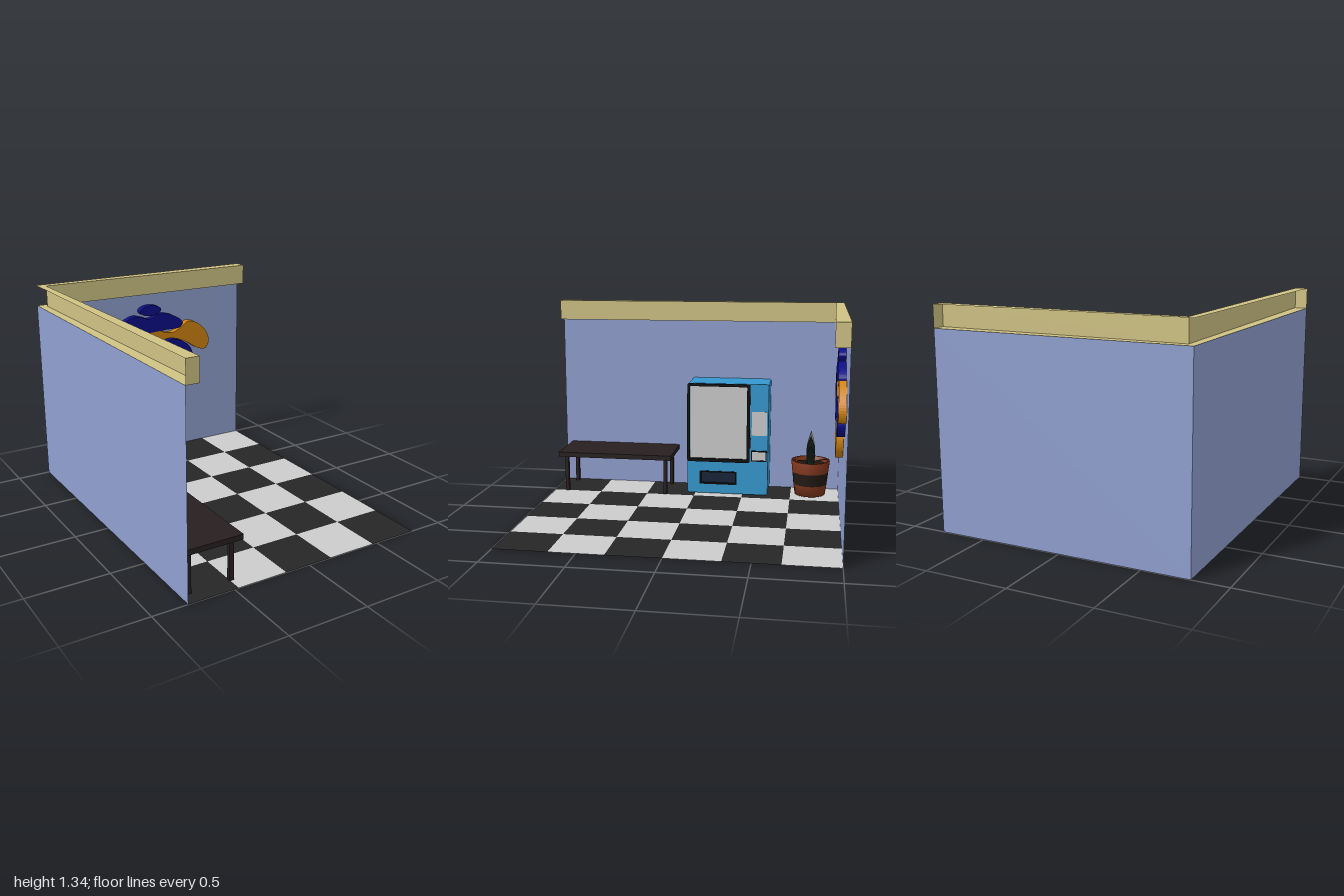
import * as THREE from 'three';

const mat = (color, double = false) => new THREE.MeshStandardMaterial({ color, side: double ? THREE.DoubleSide : THREE.FrontSide });
const M = {
  wall: mat(0x909fcf, true), trim: mat(0xcfc284, true), light: mat(0xcccccc, true), dark: mat(0x262626, true),
  blue: mat(0x3698cf), black: mat(0x0c0c0c), grey: mat(0xcccccc), slot: mat(0x18243a), wood: mat(0x282020),
  navy: mat(0x0e0e88), orange: mat(0xd08412), clay: mat(0x81371c, true), band: mat(0x231a15), soil: mat(0x2a1410),
  leaf: mat(0x18241a, true), bottle: mat(0x3038a8), label: mat(0xc8102e),
};
const V2 = (x, y) => new THREE.Vector2(x, y);

function add(parent, name, geometry, material, x = 0, y = 0, z = 0) {
  const mesh = new THREE.Mesh(geometry, material);
  mesh.name = name;
  mesh.position.set(x, y, z);
  parent.add(mesh);
  return mesh;
}

// Box given by its low and high corners
function box(parent, name, material, [x0, y0, z0], [x1, y1, z1]) {
  return add(parent, name, new THREE.BoxGeometry(x1 - x0, y1 - y0, z1 - z0), material, (x0 + x1) / 2, (y0 + y1) / 2, (z0 + z1) / 2);
}

function group(parent, name) {
  const g = new THREE.Group();
  g.name = name;
  parent.add(g);
  return g;
}

// Rounded rectangle from (u0, v0) to (u1, v1)
function roundRect(u0, v0, u1, v1, r, Type = THREE.Shape) {
  const s = new Type();
  s.moveTo(u0 + r, v0).lineTo(u1 - r, v0).quadraticCurveTo(u1, v0, u1, v0 + r);
  s.lineTo(u1, v1 - r).quadraticCurveTo(u1, v1, u1 - r, v1);
  s.lineTo(u0 + r, v1).quadraticCurveTo(u0, v1, u0, v1 - r);
  s.lineTo(u0, v0 + r).quadraticCurveTo(u0, v0, u0 + r, v0);
  return s;
}

// Panel facing +x: outline and holes are [-z0, y0, -z1, y1, radius]
function panel(parent, name, material, x0, x1, outline, holes = []) {
  const shape = roundRect(...outline);
  holes.forEach((h) => shape.holes.push(roundRect(...h, THREE.Path)));
  const geo = new THREE.ExtrudeGeometry(shape, { depth: x1 - x0, bevelEnabled: false, curveSegments: 5 });
  geo.rotateY(Math.PI / 2);
  return add(parent, name, geo, material, x0, 0, 0);
}

function buildRoom(root) {
  const room = group(root, 'room');
  add(room, 'backWall', new THREE.PlaneGeometry(1.57, 1.2), M.wall, 0, 0.6, -1);
  add(room, 'sideWall', new THREE.PlaneGeometry(2, 1.2).rotateY(Math.PI / 2), M.wall, -0.785, 0.6, 0);

  // Checkered floor
  const w = 1.57 / 5, d = 2 / 6;
  for (let i = 0; i < 5; i++) for (let j = 0; j < 6; j++) {
    const tile = new THREE.PlaneGeometry(w, d).rotateX(-Math.PI / 2);
    add(room, 'floorTile', tile, (i + j) % 2 ? M.dark : M.light, -0.785 + (i + 0.5) * w, 0, -1 + (j + 0.5) * d);
  }

  // Wall-top trim: a channel open to the outside, swept round the corner
  const lo = 1.2, hi = 1.335;
  const stations = [[-0.785, 1, -0.705, 1], [-0.785, -1, -0.735, -0.945], [0.785, -1, 0.785, -0.917]]
    .map(([ox, oz, ix, iz]) => [[ox, lo, oz], [ix, lo, iz], [ix, hi, iz], [ox, hi, oz]]);
  const pos = [];
  const quad = (a, b, c, e) => pos.push(...a, ...b, ...c, ...a, ...c, ...e);
  for (let s = 0; s < 2; s++) for (let k = 0; k < 3; k++) {
    quad(stations[s][k], stations[s + 1][k], stations[s + 1][k + 1], stations[s][k + 1]);
  }
  quad(...stations[0]);
  quad(...[...stations[2]].reverse());
  const geo = new THREE.BufferGeometry();
  geo.setAttribute('position', new THREE.Float32BufferAttribute(pos, 3));
  geo.computeVertexNormals();
  add(room, 'wallTrim', geo, M.trim);
}

function buildWallArt(root) {
  const art = group(root, 'wallArt');
  const slab = (name, shape, material) => add(art, name,
    new THREE.ExtrudeGeometry(shape, { depth: 0.046, bevelEnabled: false, curveSegments: 32 }), material, 0, 0, -0.999);
  const ellipse = (x, y, rx, ry, turn = 0) => new THREE.Shape().absellipse(x, y, rx, ry, 0, Math.PI * 2, false, turn);
  const blob = (pts) => {
    const curve = new THREE.CatmullRomCurve3(pts.map(([x, y]) => new THREE.Vector3(x, y, 0)), true, 'centripetal');
    return new THREE.Shape(curve.getPoints(90).slice(0, -1).map((p) => V2(p.x, p.y)));
  };
  slab('topOval', ellipse(0.03, 1.075, 0.083, 0.037), M.navy);
  slab('leftOval', ellipse(-0.332, 0.855, 0.125, 0.075, 0.87), M.navy);
  slab('lowerDisc', ellipse(0.03, 0.56, 0.123, 0.123), M.orange);
  slab('upperBlob', blob([[-0.24, 0.95], [-0.2, 1.0], [-0.1, 1.045], [-0.03, 1.03], [0.02, 1.015], [0.1, 1.042], [0.21, 1.02],
    [0.285, 0.965], [0.27, 0.93], [0.13, 0.92], [-0.1, 0.9], [-0.12, 0.885], [-0.17, 0.895], [-0.19, 0.915]]), M.navy);
  slab('middleBlob', blob([[-0.12, 0.9], [-0.165, 0.87], [-0.2, 0.83], [-0.28, 0.77], [-0.3, 0.69], [-0.25, 0.635], [-0.16, 0.625],
    [0.04, 0.695], [0.11, 0.69], [0.2, 0.635], [0.31, 0.625], [0.367, 0.69], [0.345, 0.77], [0.26, 0.83], [0.16, 0.835],
    [0.115, 0.79], [0.1, 0.765], [0.04, 0.76]]), M.navy);
  slab('rightBlob', blob([[-0.07, 0.902], [-0.075, 0.86], [-0.04, 0.825], [0.03, 0.81], [0.1, 0.83], [0.16, 0.855], [0.23, 0.845],
    [0.33, 0.8], [0.42, 0.745], [0.48, 0.74], [0.507, 0.8], [0.475, 0.88], [0.4, 0.945], [0.33, 0.962], [0.275, 0.925],
    [0.21, 0.895], [0.15, 0.9], [0.1, 0.917]]), M.orange);
}

function buildBench(root) {
  const bench = group(root, 'bench');
  box(bench, 'benchTop', M.wood, [-0.782, 0.257, 0.152], [-0.415, 0.29, 0.955]);
  for (const x of [-0.735, -0.467]) for (const z of [0.2, 0.908]) {
    box(bench, 'benchLeg', M.wood, [x - 0.014, 0.005, z - 0.012], [x + 0.014, 0.257, z + 0.012]);
  }
}

function buildMachine(root) {
  const machine = group(root, 'vendingMachine');
  const back = -0.68, front = -0.517;
  const outline = [-0.05, 0.01, 0.51, 0.79, 0.014];
  const opening = [-0.032, 0.26, 0.365, 0.772, 0.008];
  const chute = [0.035, 0.075, 0.295, 0.17, 0.006];
  panel(machine, 'cabinetBack', M.blue, -0.782, back, outline);
  panel(machine, 'cabinetFront', M.blue, back, front, outline, [opening, chute]);

  // Display window with pale lining
  panel(machine, 'windowFrame', M.black, front, -0.505, [-0.052, 0.238, 0.383, 0.788, 0.014], [[-0.034, 0.262, 0.362, 0.77, 0.006]]);
  panel(machine, 'windowLining', M.grey, back, front, opening, [[-0.034, 0.262, 0.362, 0.77, 0.006]]);
  panel(machine, 'windowBack', M.grey, back, back + 0.004, opening);
  for (const y of [0.643, 0.507, 0.354]) box(machine, 'shelf', M.black, [back, y - 0.008, -0.362], [-0.535, y + 0.008, 0.034]);

  // Spiral feeders
  class Spiral extends THREE.Curve {
    getPoint(t, target = new THREE.Vector3()) {
      const a = t * Math.PI * 8;
      return target.set(0.125 * t, 0.029 * Math.sin(a), 0.029 * Math.cos(a));
    }
  }
  const spiral = new THREE.TubeGeometry(new Spiral(), 80, 0.0025, 5);
  const bottle = new THREE.LatheGeometry([[0, 0], [0.021, 0], [0.023, 0.01], [0.018, 0.04], [0.023, 0.07], [0.019, 0.085],
    [0.009, 0.103], [0.009, 0.125], [0, 0.125]].map((p) => V2(...p)), 16);
  const label = new THREE.LatheGeometry([[0.0235, 0.016], [0.0195, 0.04], [0.0225, 0.06]].map((p) => V2(...p)), 16);
  for (const z of [-0.043, -0.16, -0.278]) {
    for (const y of [0.547, 0.393, 0.294]) add(machine, 'spiralFeeder', spiral, M.black, back + 0.01, y, z);
    for (const y of [0.516, 0.363]) for (const x of [-0.57, -0.63]) {
      add(machine, 'bottle', bottle, M.bottle, x, y, z);
      add(machine, 'bottleLabel', label, M.label, x, y, z);
    }
  }

  // Controls, handle and collection chute
  panel(machine, 'keypad', M.grey, front, -0.513, [0.396, 0.433, 0.5, 0.6, 0.004]);
  panel(machine, 'coinFrame', M.black, front, -0.509, [0.394, 0.25, 0.502, 0.326, 0.004], [[0.402, 0.258, 0.494, 0.318, 0.002]]);
  panel(machine, 'coinPlate', M.grey, front, -0.513, [0.402, 0.258, 0.494, 0.318, 0.002]);
  panel(machine, 'doorHandle', M.black, front, -0.503, [0.375, 0.345, 0.39, 0.415, 0.004]);
  panel(machine, 'chuteFrame', M.black, -0.545, -0.514, chute, [[0.045, 0.085, 0.285, 0.16, 0.004]]);
  panel(machine, 'chuteFlap', M.slot, -0.545, -0.53, [0.045, 0.085, 0.285, 0.16, 0.004]);
}

function buildPlant(root) {
  const plant = group(root, 'pottedPlant');
  plant.position.set(-0.6, 0, -0.802);
  const ring = (name, material, pts) => add(plant, name, new THREE.LatheGeometry(pts.map((p) => V2(...p)), 32), material);
  ring('potBase', M.clay, [[0, 0.015], [0.105, 0.015], [0.115, 0.09]]);
  ring('potBand', M.band, [[0.115, 0.09], [0.124, 0.175]]);
  ring('potRim', M.clay, [[0.124, 0.175], [0.133, 0.255], [0.115, 0.255], [0.11, 0.2]]);
  add(plant, 'soil', new THREE.CircleGeometry(0.113, 32).rotateX(-Math.PI / 2), M.soil, 0, 0.225, 0);

  // Folded, outward-curving blades
  const blade = (turn, reach, height, width) => {
    const geo = new THREE.PlaneGeometry(1, 1, 2, 10);
    const p = geo.attributes.position;
    for (let i = 0; i < p.count; i++) {
      const t = p.getY(i) + 0.5, s = p.getX(i);
      const w = width * Math.sin(Math.PI * (0.2 + 0.8 * t));
      p.setXYZ(i, 0.01 + reach * t ** 1.6, 0.222 + height * t + Math.abs(s) * w * 0.25, s * w);
    }
    geo.computeVertexNormals();
    add(plant, 'leaf', geo, M.leaf).rotation.y = turn;
  };
  blade(0, 0.165, 0.17, 0.06);
  blade(Math.PI, 0.115, 0.215, 0.06);
  blade(Math.PI, 0.03, 0.19, 0.05);
  blade(0, 0.07, 0.222, 0.06);
  blade(Math.PI / 2, 0.12, 0.045, 0.05);
  blade(-Math.PI / 2, 0.1, 0.03, 0.05);
}

export function createModel() {
  const root = new THREE.Group();
  root.name = 'breakRoom';
  [buildRoom, buildWallArt, buildBench, buildMachine, buildPlant].forEach((build) => build(root));
  return root;
}
